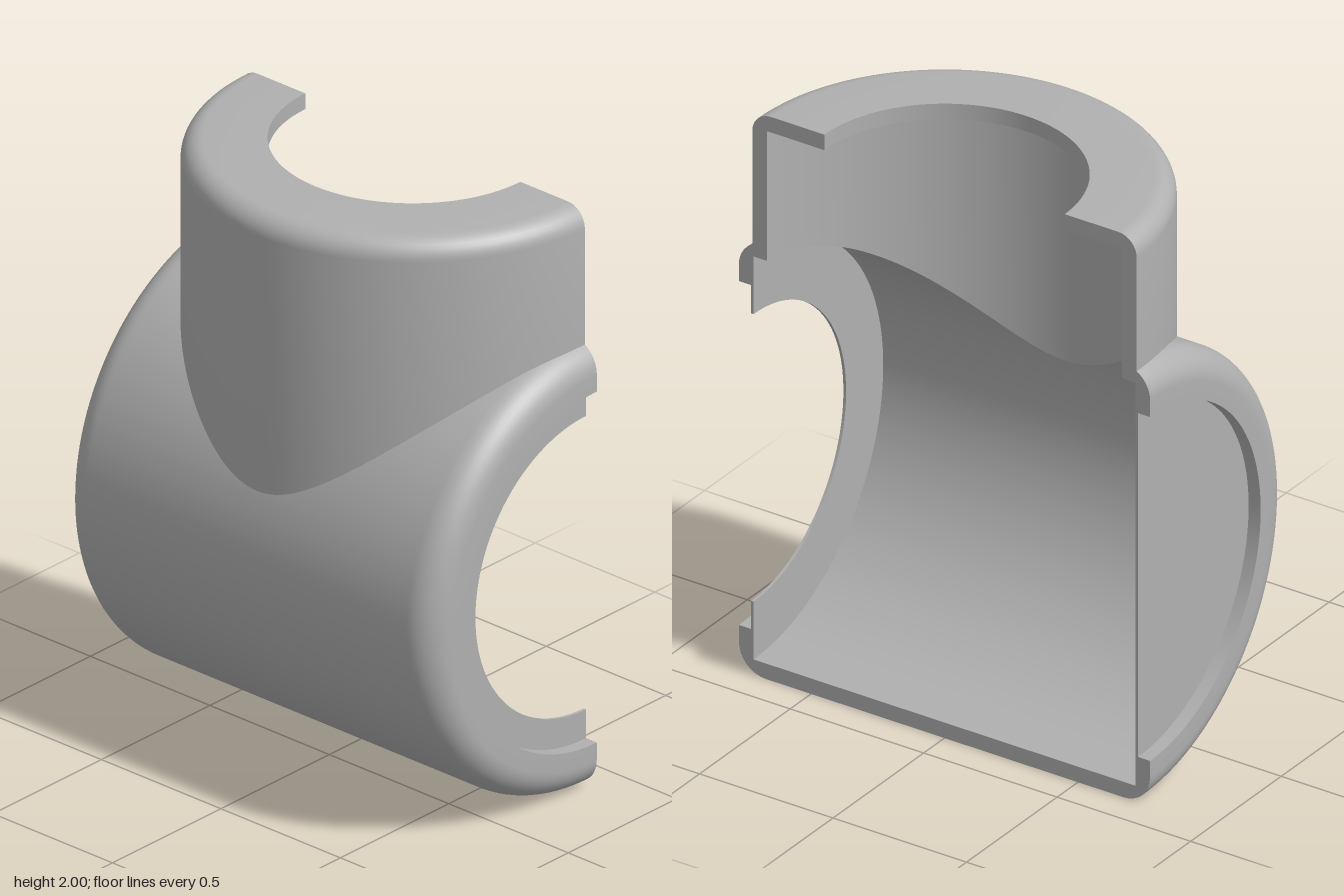
import * as THREE from 'three';
import { toCreasedNormals } from 'three/addons/utils/BufferGeometryUtils.js';

const CX = 0.385, CY = 0.77;                    // cut plane and main pipe axis height
const R = 0.77, RI = 0.715, END = 0.77, FIL = 0.1; // main pipe
const V = 0.72, VI = 0.665, TOP = 2, VF = 0.07;  // branch pipe
const N = 48;

const grey = new THREE.MeshStandardMaterial({ color: 0xb0b0b0, side: THREE.DoubleSide });
grey.name = 'grey plastic';

// outer radius of the main pipe at z, including its rounded ends
const outerR = (z) => {
  const d = Math.max(0, Math.abs(z) - (END - FIL));
  return R - FIL + Math.sqrt(Math.max(0, FIL * FIL - d * d));
};

// surface through rows of points with equal counts
function skin(name, rows, flip) {
  const n = rows[0].length, pos = rows.flat(2), idx = [];
  for (let i = 0; i + 1 < rows.length; i++)
    for (let j = 0; j + 1 < n; j++) {
      const a = i * n + j, b = a + 1, c = a + n, d = c + 1;
      idx.push(...(flip ? [a, c, b, b, c, d] : [a, b, c, b, d, c]));
    }
  const g = new THREE.BufferGeometry();
  g.setAttribute('position', new THREE.Float32BufferAttribute(pos, 3));
  g.setIndex(idx);
  const m = new THREE.Mesh(toCreasedNormals(g, 0.6), grey);
  m.name = name;
  return m;
}

// stations around the main pipe: angle from the bottom, and the z where the branch opening ends
function stations(radiusAt, branch) {
  const list = [], start = Math.PI - Math.asin(branch / radiusAt(0));
  for (let i = 0; i < N; i++) list.push([start * i / N, 0]);
  for (let i = 0; i <= N; i++) {
    const t = Math.PI / 2 * i / N, z = branch * Math.sin(t);
    list.push([Math.PI - Math.asin(branch * Math.cos(t) / radiusAt(z)), z]);
  }
  return list;
}

// point at radius r, angle p around the main axis
const around = (r, p, z) => [CX - r * Math.sin(p), CY - r * Math.cos(p), z];

function mainPipe(side) {
  const g = new THREE.Group(), front = side > 0;
  g.name = front ? 'frontMainPipe' : 'backMainPipe';
  // outside, rounded end, recessed end plate (open at the front, closed at the back)
  const lip = front
    ? [[0.61, END], [0.61, 0.725], [0.51, 0.725], [0.51, RI]]
    : [[0.61, END], [0.61, 0.725], [0, 0.725]];
  const outer = stations(outerR, V).map(([p, z0]) => {
    const prof = [[outerR(z0), z0]];
    for (let k = 0; k <= 10; k++) {
      const z = Math.max(z0, END - FIL + FIL * Math.sin(Math.PI / 2 * k / 10));
      prof.push([outerR(z), z]);
    }
    return [...prof, ...lip].map(([r, z]) => around(r, p, z * side));
  });
  // bore and inner face of the end plate
  const inner = stations(() => RI, VI).map(([p, z0]) =>
    [[RI, z0], [RI, RI], [front ? 0.51 : 0, RI]].map(([r, z]) => around(r, p, z * side)));
  g.add(skin('outerShell', outer, !front), skin('bore', inner, front));
  return g;
}

function branchPipe() {
  const rows = [];
  for (let i = 0; i <= 2 * N; i++) {
    const t = Math.PI / 2 * (i / N - 1), c = Math.cos(t), s = Math.sin(t);
    const rest = (rad, br) => CY + Math.sqrt(Math.max(0, rad * rad - (br * c) ** 2));
    const prof = [[V, rest(outerR(V * s), V)]];
    for (let k = 0; k <= 8; k++) {
      const a = Math.PI / 2 * k / 8;
      prof.push([V - VF + VF * Math.cos(a), TOP - VF + VF * Math.sin(a)]);
    }
    prof.push([0.45, TOP], [0.45, 1.945], [VI, 1.945], [VI, rest(RI, VI)]);
    rows.push(prof.map(([r, y]) => [CX - r * c, y, r * s]));
  }
  return skin('branchPipe', rows, true);
}

// wall section on the cut plane, from [z, y] points
function cutFace(name, pts) {
  const shape = new THREE.Shape(pts.map(([z, y]) => new THREE.Vector2(-z, y)));
  const m = new THREE.Mesh(new THREE.ShapeGeometry(shape).rotateY(Math.PI / 2), grey);
  m.position.x = CX;
  m.name = name;
  return m;
}

// quarter round points from angle a0 to a1
const arc = (z, y, r, a0, a1) => Array.from({ length: 9 }, (_, k) => {
  const a = a0 + (a1 - a0) * k / 8;
  return [z + r * Math.cos(a), y + r * Math.sin(a)];
});

export function createModel() {
  const model = new THREE.Group();
  model.name = 'halfPipeTee';
  model.add(mainPipe(1), mainPipe(-1), branchPipe());

  const H = Math.PI / 2, e = END - FIL;
  // shoulder, branch wall and top rim, in front
  const upper = [
    [0.725, CY + 0.61], [END, CY + 0.61],
    ...arc(e, CY + e, FIL, 0, Math.acos((V - e) / FIL)),
    ...arc(V - VF, TOP - VF, VF, 0, H),
    [0.45, TOP], [0.45, 1.945], [VI, 1.945], [VI, CY + RI], [RI, CY + RI],
  ];
  model.add(cutFace('upperFrontSection', [[RI, CY + 0.51], [0.725, CY + 0.51], ...upper]));
  model.add(cutFace('lowerAndBackSection', [
    [RI, CY - 0.51], [0.725, CY - 0.51], [0.725, CY - 0.61], [END, CY - 0.61],
    ...arc(e, FIL, FIL, 0, -H), ...arc(-e, FIL, FIL, -H, -2 * H),
    [-END, CY - 0.61], [-0.725, CY - 0.61],
    ...upper.map(([z, y]) => [-z, y]),
    [-RI, CY - RI], [RI, CY - RI],
  ]));
  return model;
}
